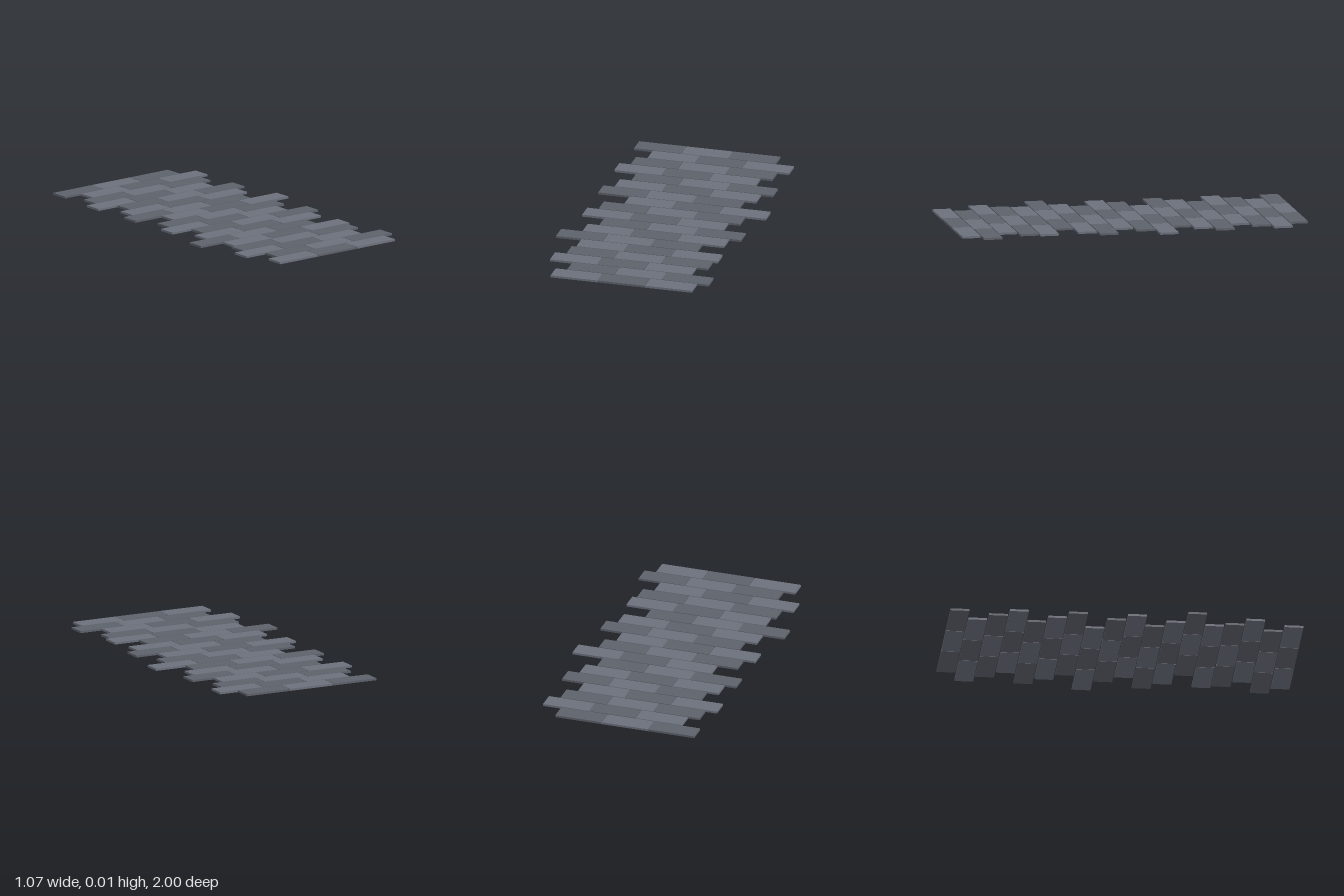
import * as THREE from 'three';

// Centre offset in x of each staggered row, from back to front
const ROW_SHIFT = [
  -0.041, 0.07, 0.003, -0.063, 0.07, 0.003, -0.063, 0.122, 0.003,
  -0.063, 0.07, 0.003, -0.122, 0.029, 0.003, -0.063, 0.07, 0.003,
];
const COLUMNS = 3;
const BRICK = { width: 0.273, height: 0.012, depth: 0.106 };
const PITCH_X = 0.2763;
const PITCH_Z = (2 - BRICK.depth) / (ROW_SHIFT.length - 1);

export function createModel() {
  const path = new THREE.Group();
  path.name = 'brickPath';

  const geometry = new THREE.BoxGeometry(BRICK.width, BRICK.height, BRICK.depth);
  const dark = new THREE.MeshStandardMaterial({ color: 0x5d616a });
  const light = new THREE.MeshStandardMaterial({ color: 0x6b707c });

  ROW_SHIFT.forEach((shift, r) => {
    const row = new THREE.Group();
    row.name = `brickRow${r + 1}`;
    row.position.set(shift, BRICK.height / 2, -1 + BRICK.depth / 2 + r * PITCH_Z);

    // Bricks alternate between the two shades in a checkerboard
    for (let c = 0; c < COLUMNS; c++) {
      const brick = new THREE.Mesh(geometry, (r + c) % 2 ? light : dark);
      brick.name = `brick${c + 1}`;
      brick.position.x = (c - (COLUMNS - 1) / 2) * PITCH_X;
      row.add(brick);
    }
    path.add(row);
  });

  return path;
}
